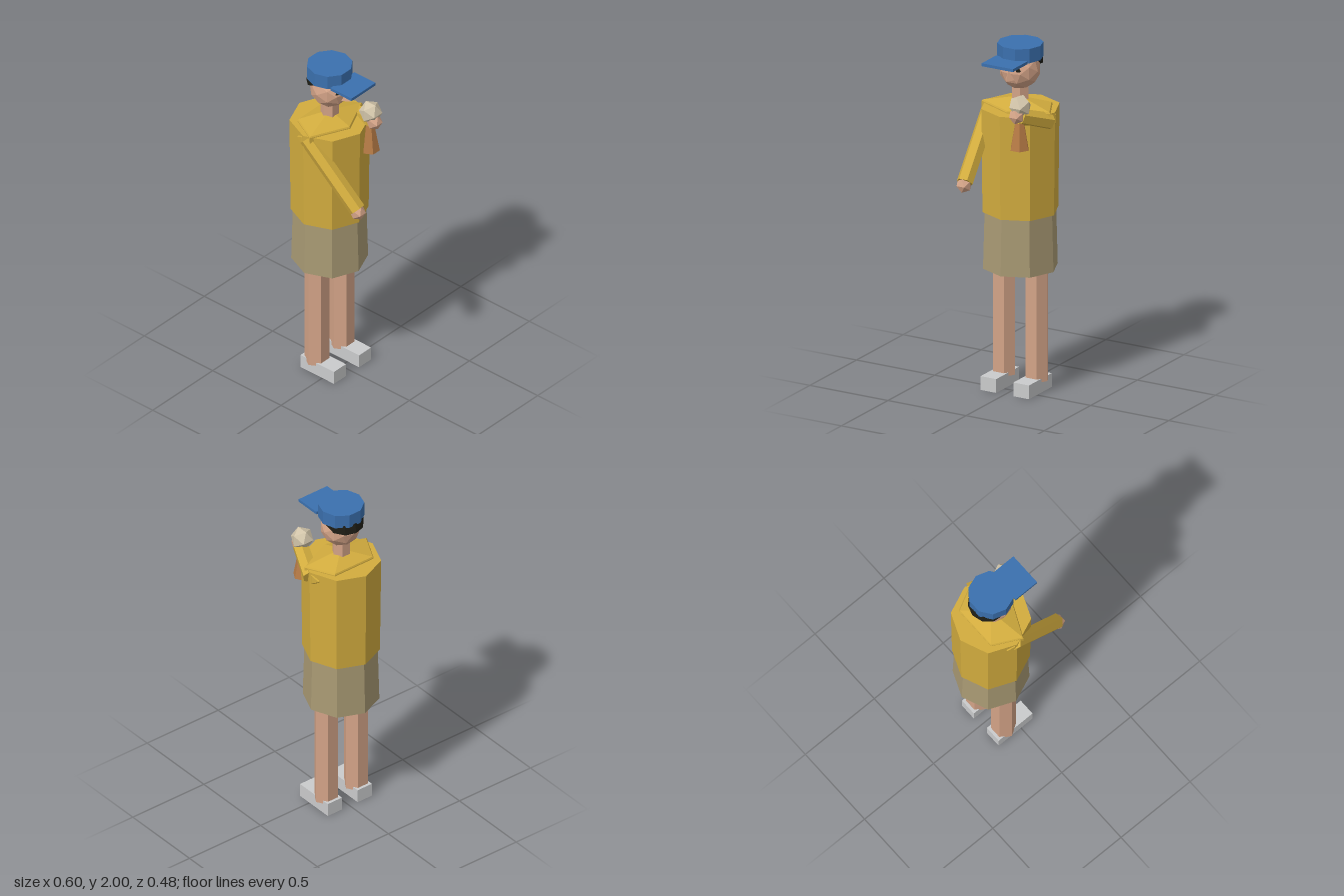
import * as THREE from 'three';

const mat = (name, color) => {
  const m = new THREE.MeshStandardMaterial({ color, flatShading: true });
  m.name = name;
  return m;
};

export function createModel() {
  const group = new THREE.Group();
  const shirt = mat('mustard', 0xd2ac3e);
  const skin = mat('skin', 0xd3a387);
  const khaki = mat('khaki', 0xa99a74);
  const blue = mat('blue', 0x3b70ae);
  const grey = mat('shoeGrey', 0xcacbcc);
  const black = mat('black', 0x1e1d15);
  const cream = mat('cream', 0xd2c5aa);
  const brown = mat('brown', 0xb87c46);
  black.side = THREE.DoubleSide;

  const CX = -0.083; // body axis; the figure looks along +x
  const add = (name, geo, material, x, y, z) => {
    const mesh = new THREE.Mesh(geo, material);
    mesh.name = name;
    mesh.position.set(x, y, z);
    group.add(mesh);
    return mesh;
  };
  // upright prism from y0 to y1
  const prism = (name, material, rTop, rBottom, y0, y1, sides, x = CX, z = 0, start = 0) =>
    add(name, new THREE.CylinderGeometry(rTop, rBottom, y1 - y0, sides, 1, false, start),
      material, x, (y0 + y1) / 2, z);
  // tapered limb between two points
  const limb = (name, material, a, b, rA, rB, sides) => {
    const p = new THREE.Vector3(...a), q = new THREE.Vector3(...b);
    const dir = q.clone().sub(p);
    const mid = p.clone().add(q).multiplyScalar(0.5);
    const mesh = add(name, new THREE.CylinderGeometry(rB, rA, dir.length(), sides), material, mid.x, mid.y, mid.z);
    mesh.quaternion.setFromUnitVectors(new THREE.Vector3(0, 1, 0), dir.normalize());
    return mesh;
  };
  const ball = (name, material, r, x, y, z, detail = 0) =>
    add(name, new THREE.IcosahedronGeometry(r, detail), material, x, y, z);

  // clothes
  prism('torso', shirt, 0.222, 0.215, 1.03, 1.63, 8);
  prism('shorts', khaki, 0.203, 0.212, 0.7, 1.035, 8);

  // sloping five-sided yoke, wider across the shoulders
  const yoke = new THREE.LatheGeometry([
    [0, 1.6], [1, 1.6], [1, 1.635], [0.97, 1.643], [0, 1.69],
  ].map(([r, y]) => new THREE.Vector2(r, y)), 5, Math.PI / 2);
  yoke.scale(0.147, 1, 0.231);
  add('shoulderYoke', yoke, shirt, -0.081, 0, 0);

  // legs, shoes and shoulders
  for (const [side, s] of [['left', 1], ['right', -1]]) {
    prism(side + 'Leg', skin, 0.07, 0.07, 0.06, 0.78, 6, CX, s * 0.105);
    add(side + 'Shoe', new THREE.BoxGeometry(0.245, 0.08, 0.1), grey, -0.038, 0.04, s * 0.105);
    ball(side + 'Shoulder', shirt, 0.05, -0.098, 1.588, s * 0.178);
  }

  // arms: left hangs forward, right is raised
  limb('leftArm', shirt, [-0.08, 1.6, 0.19], [0.255, 1.255, 0.155], 0.047, 0.047, 6);
  ball('leftHand', skin, 0.046, 0.26, 1.243, 0.157);
  limb('rightArm', shirt, [-0.065, 1.58, -0.195], [0.125, 1.65, -0.12], 0.05, 0.046, 6);
  ball('rightHand', skin, 0.046, 0.146, 1.655, -0.112);

  // microphone
  ball('microphoneHead', cream, 0.066, 0.115, 1.706, -0.116);
  prism('microphoneHandle', brown, 0.014, 0.056, 1.455, 1.68, 6, 0.113, -0.112);

  // head
  prism('neck', skin, 0.052, 0.052, 1.65, 1.78, 6);
  ball('head', skin, 0.115, -0.078, 1.85, 0, 1);
  const nose = add('nose', new THREE.ConeGeometry(0.03, 0.055, 3, 1, false, Math.PI / 2), skin, 0.042, 1.842, 0);
  nose.scale.set(1, 1, 1.1);
  for (const s of [1, -1]) {
    add(s > 0 ? 'leftEye' : 'rightEye', new THREE.ConeGeometry(0.018, 0.035, 4), black, 0.016, 1.883, s * 0.045);
  }

  // hair wraps the back of the head and rises towards the sides
  const hair = new THREE.CylinderGeometry(1, 1, 2, 6, 2, true, Math.PI, Math.PI);
  const rows = [[0.124, 1.93], [0.134, 1.872], [0.085, 1.856]];
  const pos = hair.attributes.position;
  for (let i = 0; i < pos.count; i++) {
    const [r, y] = rows[1 - Math.round(pos.getY(i))];
    const x = pos.getX(i), z = pos.getZ(i);
    const lift = THREE.MathUtils.clamp((x + 0.6) / 0.6, 0, 1);
    pos.setXYZ(i, x * r, y + (1.93 - y) * lift * 0.85, z * Math.min(r, 0.122));
  }
  hair.computeVertexNormals();
  add('hair', hair, black, CX, 0, 0);

  // cap
  prism('capCrown', blue, 0.128, 0.128, 1.917, 2.0, 10);
  add('capBrim', new THREE.BoxGeometry(0.155, 0.017, 0.2), blue, 0.0875, 1.924, 0);

  return group;
}
